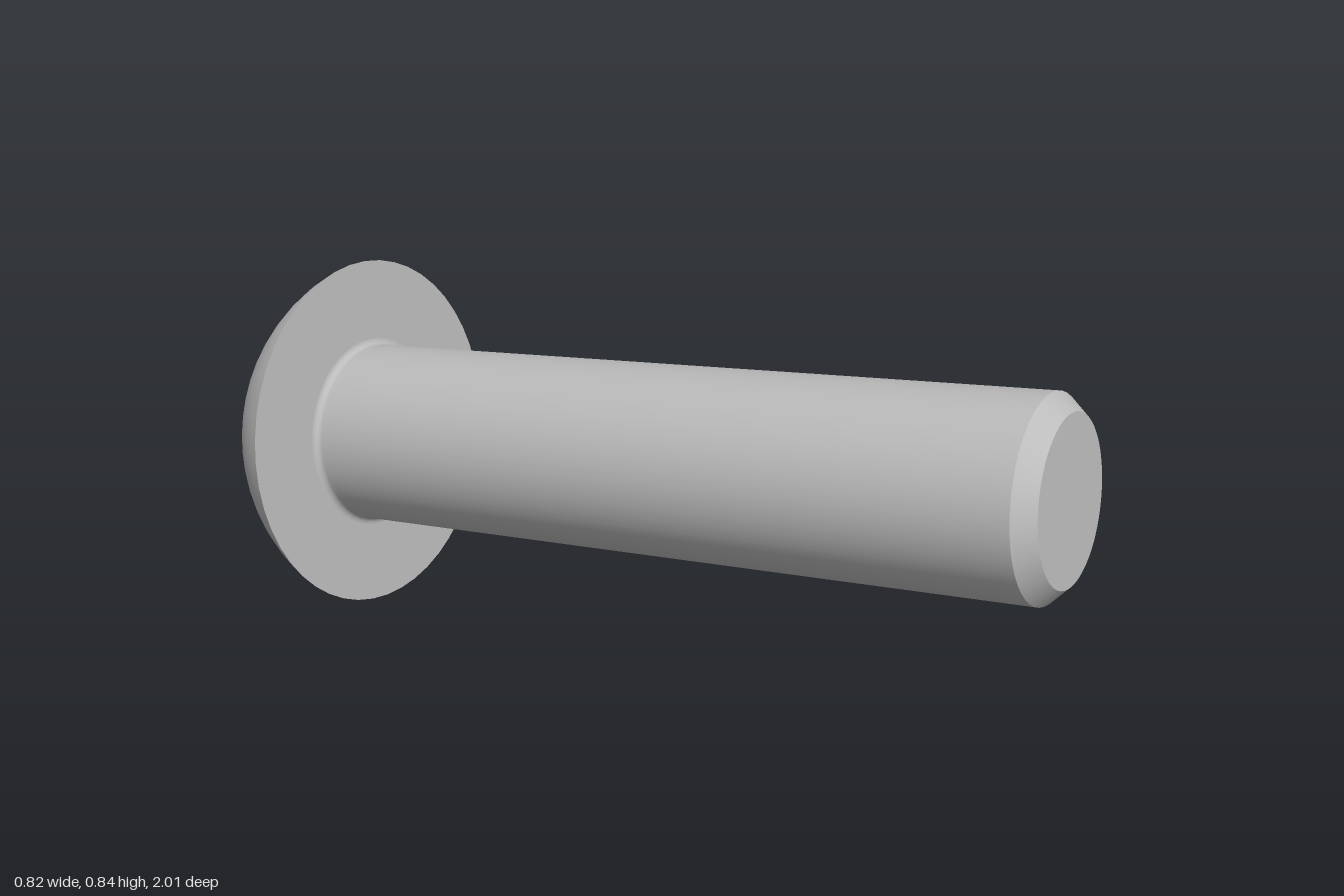
import * as THREE from 'three';

const SEG = 48;
const FLAT_R = 0.158, FLAT_Z = 0.236; // flat end of the head
const RIM_R = 0.411, DOME_C = 0.188; // head rim radius, dome centre offset
const SHAFT_R = 0.21, FILLET = 0.015;
const HEX_R = 0.155, HEX_DEPTH = 0.142, HEX_TURN = -0.13;

export function createModel() {
  const steel = new THREE.MeshStandardMaterial({ color: 0xbcbcbc });
  steel.name = 'steel grey';

  // The bolt runs along local z: head towards -z, tip towards +z
  const bolt = new THREE.Group();
  bolt.name = 'bolt';

  const add = (parent, name, geometry) => {
    const mesh = new THREE.Mesh(geometry, steel);
    mesh.name = name;
    parent.add(mesh);
  };
  const turned = (name, points) => add(bolt, name,
    new THREE.LatheGeometry(points.map(([r, z]) => new THREE.Vector2(r, z)), SEG).rotateX(Math.PI / 2));

  // Domed head: an arc from the flat end to the rim
  const sphereR = Math.hypot(RIM_R, DOME_C);
  const a0 = Math.asin(FLAT_R / sphereR), a1 = Math.asin(RIM_R / sphereR);
  const dome = [];
  for (let i = 0; i <= 14; i++) {
    const a = a0 + (a1 - a0) * i / 14;
    dome.push([sphereR * Math.sin(a), DOME_C - sphereR * Math.cos(a)]);
  }
  turned('headDome', dome);
  turned('headUnderside', [[RIM_R, 0], [SHAFT_R + FILLET, 0]]);

  // Shaft with a small fillet where it meets the head
  const shaft = [];
  for (let i = 0; i <= 5; i++) {
    const a = i / 5 * Math.PI / 2;
    shaft.push([SHAFT_R + FILLET * (1 - Math.sin(a)), FILLET * (1 - Math.cos(a))]);
  }
  shaft.push([SHAFT_R, 0.03], [SHAFT_R, 1.702]);
  turned('shaft', shaft);
  turned('tipChamfer', [[SHAFT_R, 1.702], [0.173, 1.742]]);
  turned('tipFace', [[0.173, 1.742], [0, 1.742]]);

  // Hexagonal socket, modelled facing +z then turned to the back
  const socket = new THREE.Group();
  socket.name = 'hexSocket';
  socket.position.z = -FLAT_Z;
  socket.rotation.set(0, Math.PI, 0);
  bolt.add(socket);
  const hex = new THREE.Group();
  hex.name = 'hexRecess';
  hex.rotation.z = HEX_TURN;
  socket.add(hex);

  const ringPoints = (r, n) => Array.from({ length: n }, (_, i) => {
    const a = i / n * Math.PI * 2;
    return new THREE.Vector2(r * Math.cos(a), r * Math.sin(a));
  });
  const collar = new THREE.Shape(ringPoints(FLAT_R, SEG));
  collar.holes.push(new THREE.Path(ringPoints(HEX_R, 6)));
  const collarGeo = new THREE.ShapeGeometry(collar);
  // Normals follow the dome so the flat end blends into it
  const p = collarGeo.attributes.position, n = new THREE.Vector3();
  for (let i = 0; i < p.count; i++) {
    n.set(p.getX(i), p.getY(i), FLAT_Z + DOME_C).normalize();
    collarGeo.attributes.normal.setXYZ(i, n.x, n.y, n.z);
  }
  add(hex, 'socketCollar', collarGeo);

  // Mirroring the tube turns its walls inward
  const walls = new THREE.CylinderGeometry(HEX_R, HEX_R, HEX_DEPTH, 6, 1, true)
    .rotateX(Math.PI / 2).rotateZ(Math.PI / 6).scale(-1, 1, 1)
    .translate(0, 0, -HEX_DEPTH / 2).toNonIndexed();
  walls.computeVertexNormals();
  add(hex, 'socketWalls', walls);
  add(hex, 'socketFloor', new THREE.CircleGeometry(HEX_R, 6).translate(0, 0, -HEX_DEPTH));

  // Tilt the bolt: the axis rises and leans slightly sideways towards the tip
  const axis = new THREE.Vector3(0.0653, 0.1352, 1).normalize();
  const side = new THREE.Vector3(1, 0, 0).addScaledVector(axis, -axis.x).normalize();
  const up = new THREE.Vector3().crossVectors(axis, side);
  bolt.quaternion.setFromRotationMatrix(new THREE.Matrix4().makeBasis(side, up, axis));
  bolt.position.set(0, 0.408, -0.745);

  const model = new THREE.Group();
  model.name = 'buttonHeadBolt';
  model.add(bolt);
  return model;
}
